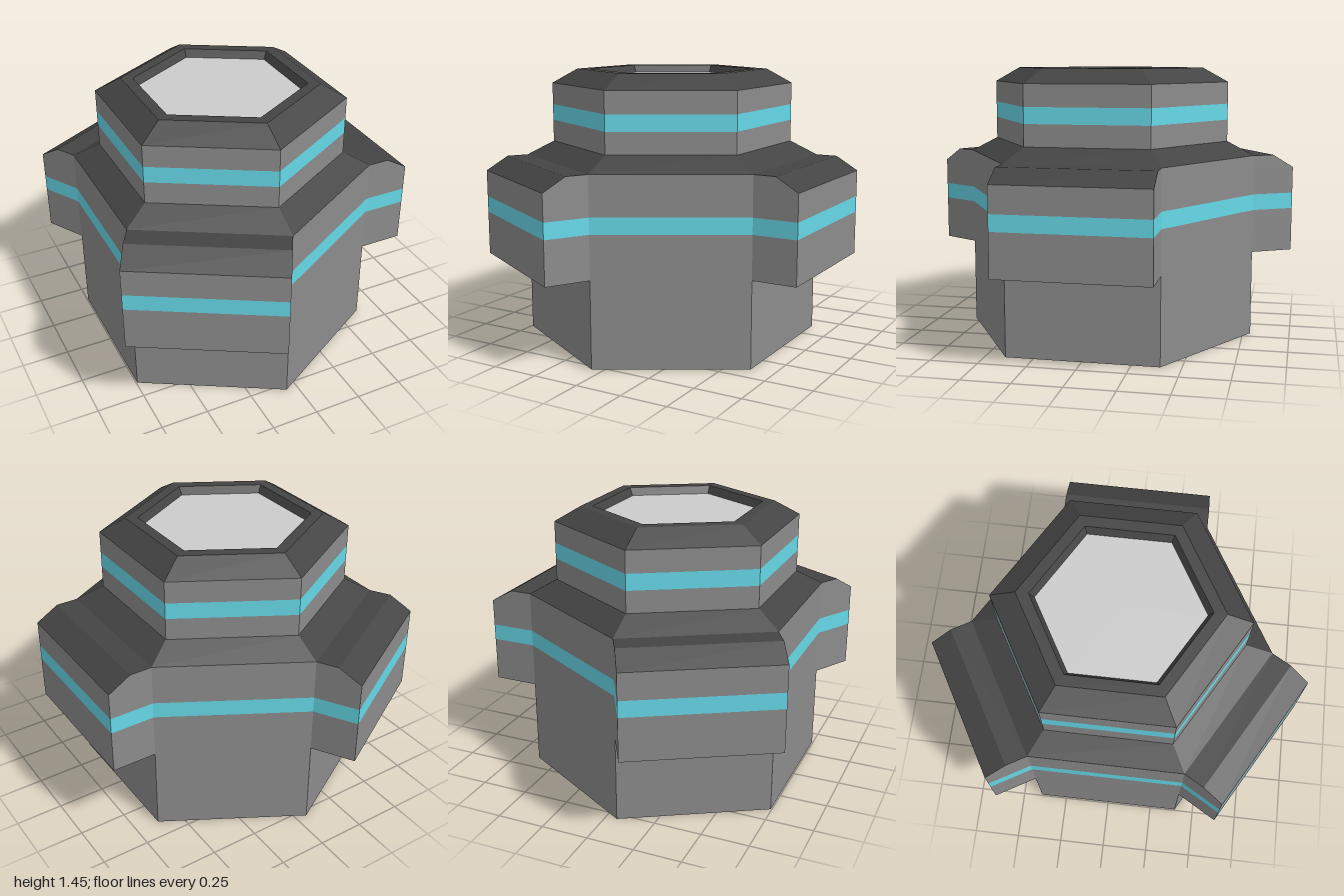
import * as THREE from 'three';

const mat = (color) => new THREE.MeshStandardMaterial({ color, flatShading: true });
const ARM_OUT = 0.235; // how far each arm stands out from its flat
const R = 0.79;        // corner radius of the hexagonal body
const APOTHEM = R * Math.sqrt(3) / 2;

// Hexagon ring of [x, z] points, flats facing +x and -x
function hex(r) {
  return Array.from({ length: 6 }, (_, i) => {
    const t = i * Math.PI / 3;
    return [r * Math.sin(t), r * Math.cos(t)];
  });
}

// Hexagon outline with a rectangular arm on every other flat
function armOutline(out) {
  const h = hex(R), pts = [];
  for (let i = 0; i < 6; i++) {
    pts.push(h[i]);
    if (i % 2 === 0) continue;
    const t = (i + 0.5) * Math.PI / 3;
    const nx = Math.sin(t) * out, nz = Math.cos(t) * out;
    for (const p of [h[i], h[(i + 1) % 6]]) pts.push([p[0] + nx, p[1] + nz]);
  }
  return pts;
}

// Walls joining two rings of equal point count
function loft(ringA, ringB, yA, yB) {
  const pos = [], n = ringA.length;
  for (let i = 0; i < n; i++) {
    const j = (i + 1) % n;
    const a = [ringA[i][0], yA, ringA[i][1]], b = [ringA[j][0], yA, ringA[j][1]];
    const c = [ringB[j][0], yB, ringB[j][1]], d = [ringB[i][0], yB, ringB[i][1]];
    pos.push(...a, ...b, ...c, ...a, ...c, ...d);
  }
  const g = new THREE.BufferGeometry();
  g.setAttribute('position', new THREE.Float32BufferAttribute(pos, 3));
  g.computeVertexNormals();
  return g;
}

export function createModel() {
  const model = new THREE.Group();
  const grey = mat(0x8c8c8c), dark = mat(0x444444), cyan = mat(0x66d9e8), light = mat(0xcccccc);
  const add = (name, geometry, material) => {
    const mesh = new THREE.Mesh(geometry, material);
    mesh.name = name;
    mesh.position.x = -0.06;
    model.add(mesh);
    return mesh;
  };
  const hexPart = (name, r0, y0, r1, y1, m) => add(name, loft(hex(r0), hex(r1), y0, y1), m);

  // Base column
  hexPart('baseBottom', 0, 0, R, 0, dark);
  hexPart('baseWall', R, 0, R, 0.455, grey);

  // Body with three arms, banded in the middle
  const outline = armOutline(ARM_OUT);
  add('armUnderside', loft(armOutline(0), outline, 0.455, 0.455), grey);
  add('bodyLowerWall', loft(outline, outline, 0.455, 0.685), grey);
  add('bodyBand', loft(outline, outline, 0.685, 0.77), cyan);
  add('bodyUpperWall', loft(outline, outline, 0.77, 0.91), grey);
  hexPart('bodyRim', R, 0.91, R, 0.98, grey);
  hexPart('bodyShoulder', R, 0.98, 0.645, 1.055, dark);

  // Bevelled arm tops
  const profile = new THREE.Shape([
    [APOTHEM, 0.91], [APOTHEM + ARM_OUT, 0.91], [0.8, 0.98], [APOTHEM, 0.98],
  ].map(([x, y]) => new THREE.Vector2(x, y)));
  const armTop = new THREE.ExtrudeGeometry(profile, { depth: R, bevelEnabled: false });
  armTop.translate(0, 0, -R / 2);
  for (let i = 0; i < 3; i++) {
    add('armTop', armTop, [grey, dark]).rotation.y = i * Math.PI * 2 / 3;
  }

  // Cap with its band
  hexPart('capLowerWall', 0.645, 1.055, 0.645, 1.17, grey);
  hexPart('capBand', 0.645, 1.17, 0.645, 1.255, cyan);
  hexPart('capUpperWall', 0.645, 1.255, 0.645, 1.37, grey);
  hexPart('capBevel', 0.645, 1.37, 0.51, 1.445, dark);

  // Recessed top panel
  hexPart('topRim', 0.51, 1.445, 0.445, 1.445, dark);
  hexPart('recessWall', 0.445, 1.445, 0.42, 1.405, dark);
  hexPart('topPanel', 0.42, 1.405, 0, 1.405, light);

  return model;
}
